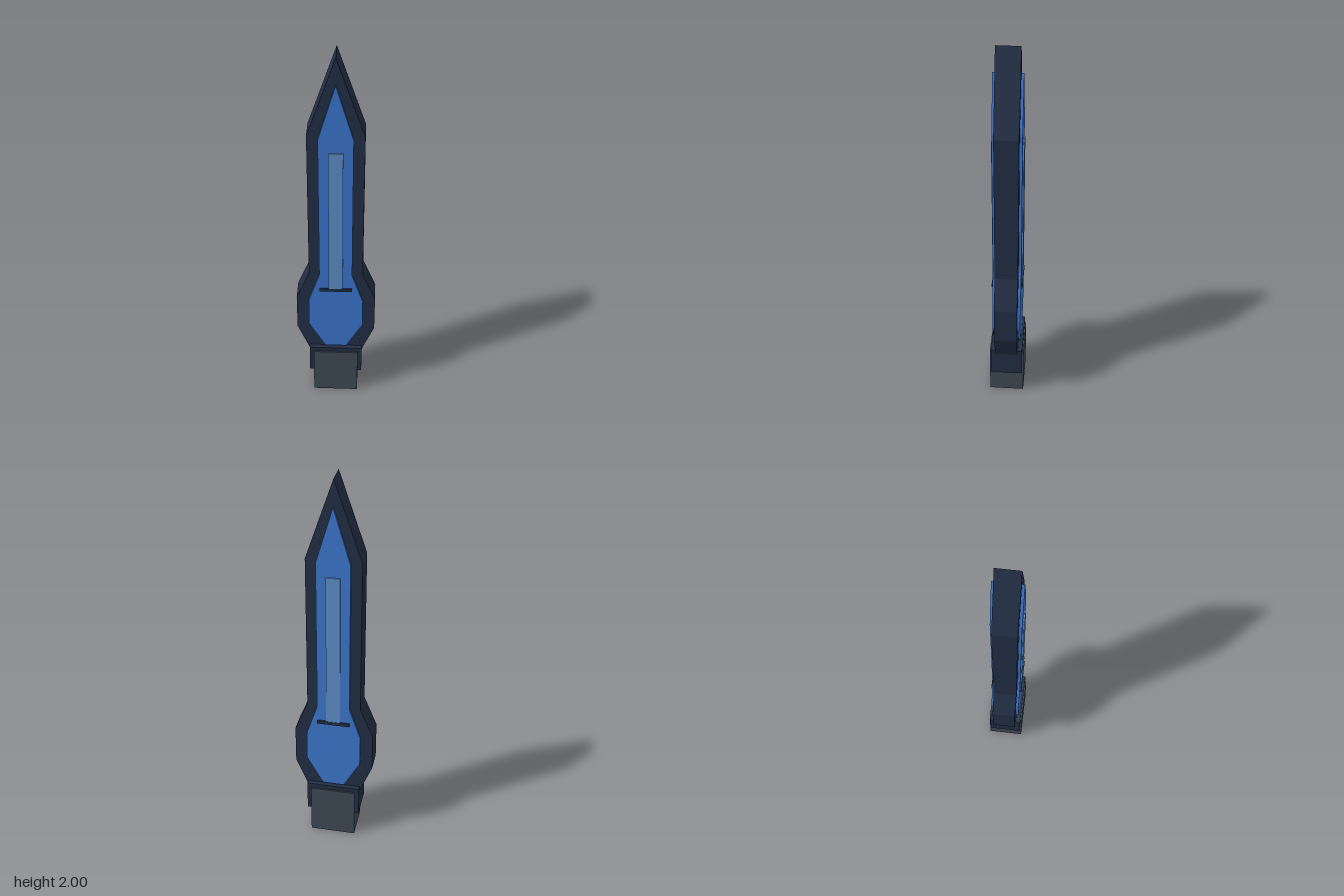
import * as THREE from 'three';

const mat = (name, color) => {
  const m = new THREE.MeshStandardMaterial({ color });
  m.name = name;
  return m;
};

// Symmetric outline from right-hand points (top to bottom), extruded and centred on z
function slab(points, depth) {
  const left = points.filter(([x]) => x > 0).map(([x, y]) => [-x, y]).reverse();
  const shape = new THREE.Shape([...points, ...left].map(([x, y]) => new THREE.Vector2(x, y)));
  const geo = new THREE.ExtrudeGeometry(shape, { depth, bevelEnabled: false });
  return geo.translate(0, 0, -depth / 2);
}

export function createModel() {
  const navy = mat('navy', 0x232f45);
  const blue = mat('blue', 0x3c78d0);
  const paleBlue = mat('paleBlue', 0x5f90cc);
  const grey = mat('grey', 0x3f4a55);

  const model = new THREE.Group();
  model.name = 'blade';

  const add = (name, geo, material) => {
    const mesh = new THREE.Mesh(geo, material);
    mesh.name = name;
    model.add(mesh);
    return mesh;
  };
  const box = (name, w, y0, y1, d, material, z = 0) => {
    add(name, new THREE.BoxGeometry(w, y1 - y0, d), material).position.set(0, (y0 + y1) / 2, z);
  };

  // Pointed body, swelling out near the base
  add('body', slab([
    [0, 2], [0.135, 1.6], [0.135, 0.79], [0.2, 0.63], [0.2, 0.43], [0.135, 0.27],
  ], 0.116), navy);

  // Blue inlay standing proud of both faces
  add('inlay', slab([
    [0, 1.87], [0.082, 1.59], [0.082, 0.79], [0.138, 0.62], [0.138, 0.46], [0.055, 0.31],
  ], 0.142), blue);

  // Pale centre strip and dark crossbar on each face
  for (const [side, s] of [['front', 1], ['back', -1]]) {
    box(side + 'Strip', 0.07, 0.7, 1.52, 0.008, paleBlue, s * 0.073);
    box(side + 'Crossbar', 0.165, 0.69, 0.708, 0.009, navy, s * 0.0735);
  }

  // Collar and square grip
  box('collar', 0.274, 0.14, 0.3, 0.164, navy);
  box('grip', 0.232, 0, 0.275, 0.178, grey);

  return model;
}
